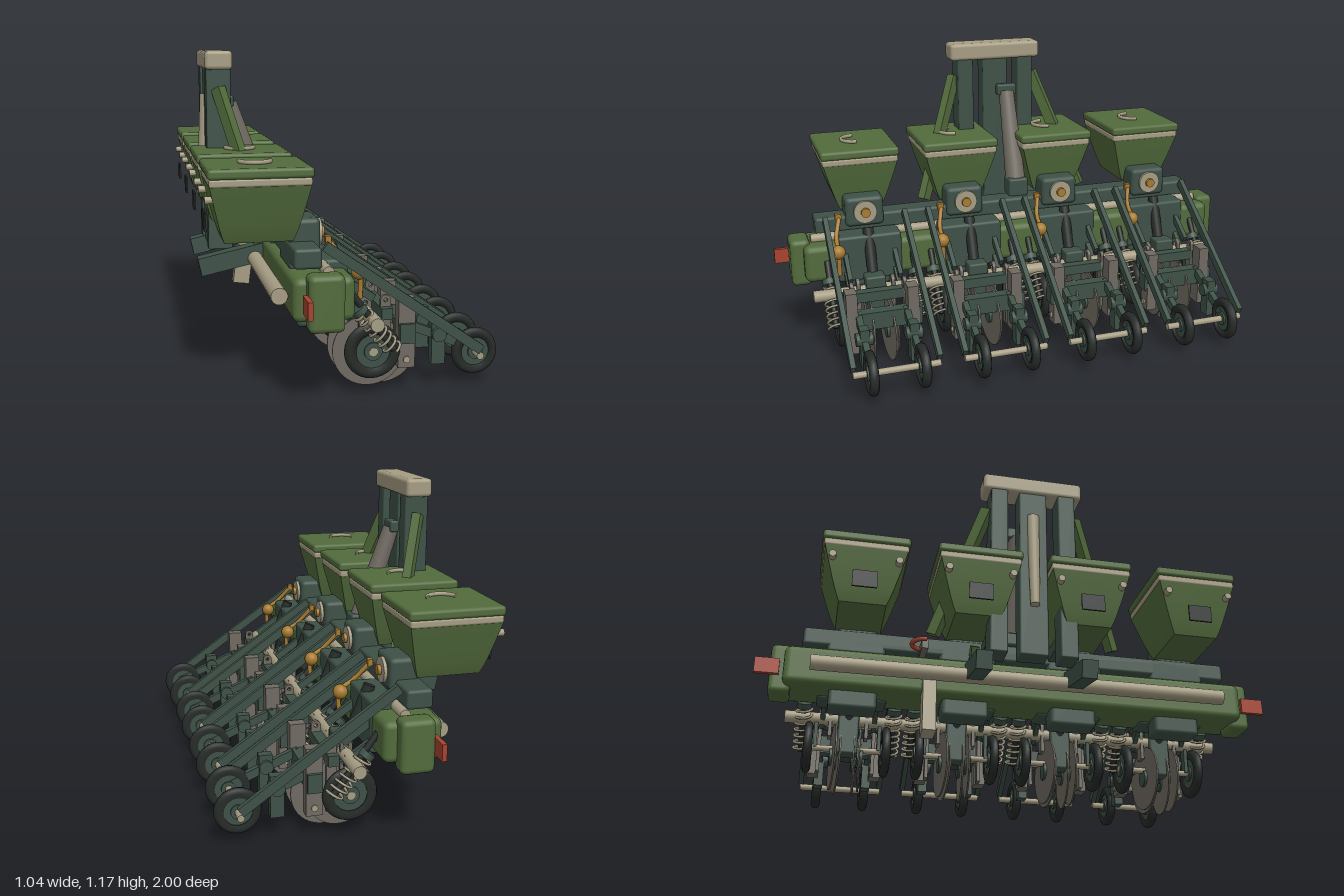
import * as THREE from 'three';
import { RoundedBoxGeometry } from 'three/addons/geometries/RoundedBoxGeometry.js';

const paint = (color) => new THREE.MeshStandardMaterial({ color });
const GREEN = paint(0x526b3c), DARK = paint(0x3e5147), BEIGE = paint(0xa59c82), GREY = paint(0x6f6a61);
const BLACK = paint(0x262b28), RED = paint(0xa8432f), GOLD = paint(0xa87a30);
const V = (p) => new THREE.Vector3(...p);

function add(parent, name, geo, mat, pos = [0, 0, 0]) {
  const m = new THREE.Mesh(geo, mat);
  m.name = name;
  m.position.set(...pos);
  parent.add(m);
  return m;
}
// Box given by its limits on each axis, with optional rounded edges
function box(parent, name, mat, [x0, x1], [y0, y1], [z0, z1], r = 0) {
  const s = [x1 - x0, y1 - y0, z1 - z0];
  const geo = r ? new RoundedBoxGeometry(...s, 2, r) : new THREE.BoxGeometry(...s);
  add(parent, name, geo, mat, [(x0 + x1) / 2, (y0 + y1) / 2, (z0 + z1) / 2]);
}
// Square bar between two points
function bar(parent, name, mat, a, b, w, h) {
  const A = V(a), B = V(b), m = new THREE.Mesh(new THREE.BoxGeometry(w, h, A.distanceTo(B)), mat);
  m.name = name;
  m.position.copy(A).add(B).multiplyScalar(0.5);
  m.lookAt(B);
  parent.add(m);
}
// Round rod between two points
function rod(parent, name, mat, a, b, r0, r1 = r0, seg = 20) {
  const A = V(a), B = V(b), m = new THREE.Mesh(new THREE.CylinderGeometry(r1, r0, A.distanceTo(B), seg), mat);
  m.name = name;
  m.position.copy(A).add(B).multiplyScalar(0.5);
  m.quaternion.setFromUnitVectors(new THREE.Vector3(0, 1, 0), B.sub(A).normalize());
  parent.add(m);
}
function wheel(parent, name, x, y, z, r, w) {
  const g = new THREE.Group();
  g.name = name;
  g.position.set(x, y, z);
  const pts = [[0.6, -0.4], [0.82, -0.5], [0.95, -0.35], [1, 0], [0.95, 0.35], [0.82, 0.5], [0.6, 0.4], [0.6, -0.4]];
  const tyre = new THREE.LatheGeometry(pts.map(([a, b]) => new THREE.Vector2(a * r, b * w)), 32);
  add(g, 'tyre', tyre.rotateX(Math.PI / 2), BLACK);
  rod(g, 'rim', DARK, [0, 0, -w * 0.3], [0, 0, w * 0.3], r * 0.62);
  rod(g, 'hub', DARK, [0, 0, -w * 0.5], [0, 0, w * 0.5], r * 0.32);
  rod(g, 'hubBolt', BEIGE, [0, 0, -w * 0.58], [0, 0, w * 0.58], r * 0.15);
  parent.add(g);
}
// Coil wound along the line from a to b
function spring(parent, a, b, r, turns) {
  const A = V(a), D = V(b).sub(A), u = D.clone().normalize(), n = new THREE.Vector3(0, 0, 1), k = u.clone().cross(n);
  const pts = [];
  for (let i = 0; i <= turns * 12; i++) {
    const t = (i / 12) * Math.PI * 2;
    pts.push(A.clone().addScaledVector(D, i / (turns * 12)).addScaledVector(n, r * Math.cos(t)).addScaledVector(k, r * Math.sin(t)));
  }
  add(parent, 'spring', new THREE.TubeGeometry(new THREE.CatmullRomCurve3(pts), turns * 14, 0.005, 6), BEIGE);
}
// Upright plate with a rounded top and a bolt hole
function plate(parent, x0, x1, y0, y1, z, t) {
  const r = (x1 - x0) / 2, s = new THREE.Shape();
  s.moveTo(x0, y0);
  s.lineTo(x1, y0);
  s.absarc(x0 + r, y1 - r, r, 0, Math.PI, false);
  const hole = new THREE.Path();
  hole.absarc(x0 + r, y1 - r, r * 0.4, 0, Math.PI * 2, true);
  s.holes.push(hole);
  add(parent, 'bracketPlate', new THREE.ExtrudeGeometry(s, { depth: t, bevelEnabled: false, curveSegments: 10 }), GREY, [0, 0, z - t / 2]);
}

function hopper(parent) {
  // Tapered bin with slightly bowed walls
  const geo = new THREE.BoxGeometry(1, 0.2, 1, 4, 8, 4), p = geo.attributes.position;
  for (let i = 0; i < p.count; i++) {
    const k = Math.pow(Math.max(0, p.getY(i) / 0.2 + 0.5), 0.85);
    p.setX(i, p.getX(i) * (0.235 + 0.105 * k));
    p.setZ(i, p.getZ(i) * (0.17 + 0.13 * k));
  }
  geo.computeVertexNormals();
  add(parent, 'hopperBin', geo, GREEN, [-0.335, 0.64, 0]);
  box(parent, 'hopperRim', BEIGE, [-0.507, -0.163], [0.738, 0.766], [-0.154, 0.154], 0.008);
  box(parent, 'hopperLid', GREEN, [-0.512, -0.157], [0.764, 0.8], [-0.16, 0.16], 0.012);
  const handle = new THREE.TorusGeometry(0.054, 0.008, 8, 20, Math.PI).rotateX(Math.PI / 2);
  add(parent, 'lidHandle', handle, BEIGE, [-0.335, 0.806, -0.005]);
  for (const z of [-0.12, 0.12]) rod(parent, 'lidLatch', BEIGE, [-0.52, 0.695, z], [-0.48, 0.695, z], 0.013);
  box(parent, 'hopperTag', BLACK, [-0.515, -0.508], [0.575, 0.64], [-0.045, 0.045]);
}

function rowUnit(z) {
  const g = new THREE.Group();
  g.name = 'rowUnit';
  g.position.z = z;
  hopper(g);
  // Seed meter under the hopper
  box(g, 'meterHousing', DARK, [-0.23, -0.12], [0.49, 0.613], [-0.078, 0.078], 0.018);
  box(g, 'meterBase', DARK, [-0.235, -0.14], [0.44, 0.535], [-0.11, 0.11], 0.015);
  rod(g, 'meterDisc', BEIGE, [-0.125, 0.553, 0], [-0.108, 0.553, 0], 0.047, 0.047, 28);
  rod(g, 'meterKnob', GOLD, [-0.11, 0.553, 0], [-0.095, 0.553, 0], 0.019);
  // Mount and shank
  box(g, 'mountPlate', DARK, [-0.14, -0.035], [0.29, 0.48], [-0.13, 0.13], 0.012);
  box(g, 'clampFoot', DARK, [-0.205, -0.105], [0.235, 0.42], [-0.09, 0.09], 0.015);
  box(g, 'shank', DARK, [0.0, 0.07], [0.13, 0.34], [-0.04, 0.04], 0.008);
  box(g, 'crossBeam', DARK, [0.08, 0.12], [0.26, 0.3], [-0.14, 0.14]);
  box(g, 'rearBlock', DARK, [0.145, 0.195], [0.175, 0.245], [-0.105, 0.105]);
  rod(g, 'seedTube', BLACK, [-0.07, 0.5, 0], [0.08, 0.12, 0], 0.022);
  // Paired opener discs, tilted to meet at the front
  for (const s of [-1, 1]) for (const [x, o] of [[0.055, 0.052], [0.105, 0.034]]) {
    const d = add(g, 'openerDisc', new THREE.CylinderGeometry(0.128, 0.128, 0.006, 40).rotateX(Math.PI / 2), GREY, [x, 0.128, s * o]);
    d.rotation.y = -s * 0.07;
    rod(g, 'discHub', DARK, [x, 0.128, s * o - 0.012], [x, 0.128, s * o + 0.012], 0.035);
  }
  for (const s of [-1, 1]) {
    wheel(g, 'gaugeWheel', 0.045, 0.158, s * 0.148, 0.1, 0.034);
    rod(g, 'gaugeAxle', BEIGE, [0.045, 0.158, s * 0.03], [0.045, 0.158, s * 0.14], 0.012);
    bar(g, 'gaugeArm', DARK, [0.045, 0.158, s * 0.122], [0.04, 0.29, s * 0.122], 0.014, 0.035);
    bar(g, 'parallelArm', DARK, [-0.1, 0.44, s * 0.1], [0.06, 0.33, s * 0.1], 0.018, 0.028);
    bar(g, 'parallelArm', DARK, [-0.1, 0.36, s * 0.1], [0.06, 0.25, s * 0.1], 0.018, 0.028);
    plate(g, 0.083, 0.12, 0.08, 0.342, s * 0.105, 0.014);
    plate(g, 0.015, 0.06, 0.2, 0.33, s * 0.07, 0.014);
    box(g, 'scraperBracket', GREY, [0.14, 0.2], [0.085, 0.335], [s * 0.12 - 0.022, s * 0.12 + 0.022]);
    rod(g, 'bracketBolt', BEIGE, [0.17, 0.115, s * 0.135], [0.17, 0.115, s * 0.148], 0.012);
    box(g, 'bracketClamp', DARK, [0.143, 0.197], [0.175, 0.245], [s * 0.125 - 0.03, s * 0.125 + 0.03]);
    // Down-pressure spring around its damper
    spring(g, [0.0, 0.3, s * 0.173], [0.115, 0.165, s * 0.173], 0.03, 7);
    rod(g, 'springRod', BLACK, [-0.045, 0.385, s * 0.173], [0.115, 0.165, s * 0.173], 0.012);
    rod(g, 'springSeat', DARK, [-0.015, 0.318, s * 0.173], [0.0, 0.3, s * 0.173], 0.028);
    // Long press-wheel arm, trailing link and wheel
    bar(g, 'pressArm', DARK, [-0.125, 0.535, s * 0.162], [0.435, 0.14, s * 0.162], 0.02, 0.035);
    bar(g, 'trailingLink', DARK, [0.17, 0.235, s * 0.095], [0.435, 0.125, s * 0.095], 0.024, 0.032);
    box(g, 'linkWeight', DARK, [0.27, 0.32], [0.08, 0.235], [s * 0.095 - 0.018, s * 0.095 + 0.018]);
    rod(g, 'linkCollar', DARK, [0.295, 0.19, s * 0.095 - 0.032], [0.295, 0.19, s * 0.095 + 0.032], 0.026);
    wheel(g, 'pressWheel', 0.433, 0.117, s * 0.097, 0.085, 0.036);
  }
  rod(g, 'pressAxle', BEIGE, [0.433, 0.117, -0.165], [0.433, 0.117, 0.165], 0.013);
  // Brass fitting and its hose
  add(g, 'brassFitting', new THREE.SphereGeometry(0.028, 16, 12), GOLD, [0.0, 0.435, 0.132]);
  const hose = new THREE.CatmullRomCurve3([[-0.1, 0.54, 0.11], [-0.05, 0.48, 0.13], [0, 0.44, 0.132], [0.005, 0.34, 0.132]].map(V));
  add(g, 'hose', new THREE.TubeGeometry(hose, 20, 0.009, 8), GOLD);
  box(g, 'hoseBlock', GOLD, [-0.115, -0.095], [0.535, 0.56], [0.1, 0.125]);
  return g;
}

export function createModel() {
  const model = new THREE.Group();
  model.name = 'rowPlanter';

  // Main frame
  box(model, 'mainBeam', GREEN, [-0.25, -0.04], [0.3, 0.45], [-0.895, 0.895], 0.025);
  box(model, 'upperBeam', DARK, [-0.235, -0.14], [0.465, 0.535], [-0.835, 0.835], 0.012);
  rod(model, 'driveShaft', BEIGE, [0.038, 0.275, -0.88], [0.038, 0.275, 0.88], 0.024);
  rod(model, 'airPipe', BEIGE, [-0.125, 0.46, -0.86], [-0.125, 0.46, 0.86], 0.019);
  rod(model, 'rearPipe', BEIGE, [-0.28, 0.37, -0.8], [-0.28, 0.37, 0.8], 0.029);
  for (const s of [-1, 1]) {
    const span = (a, b) => (s > 0 ? [a, b] : [-b, -a]);
    box(model, 'endCap', GREEN, [-0.207, -0.085], [0.275, 0.468], span(0.865, 0.945), 0.02);
    box(model, 'endReflector', RED, [-0.222, -0.205], [0.34, 0.4], span(0.91, 1));
    // Mast post, brace, frame link and lower hitch arm
    box(model, 'mastPost', DARK, [-0.455, -0.36], [0.4, 1.12], span(0.1, 0.168), 0.006);
    bar(model, 'mastBrace', GREEN, [-0.41, 1.03, s * 0.175], [-0.27, 0.53, s * 0.355], 0.035, 0.045);
    box(model, 'mastLink', DARK, [-0.4, -0.18], [0.48, 0.525], span(0.105, 0.16));
    bar(model, 'hitchArm', DARK, [-0.495, 0.342, s * 0.195], [-0.2, 0.405, s * 0.195], 0.06, 0.07);
    bar(model, 'hitchGusset', GREEN, [-0.29, 0.49, s * 0.195], [-0.2, 0.33, s * 0.195], 0.03, 0.05);
  }

  // Mast
  box(model, 'mastCenterPost', DARK, [-0.45, -0.37], [0.4, 1.12], [-0.055, 0.055], 0.006);
  box(model, 'mastCap', BEIGE, [-0.46, -0.355], [1.1, 1.172], [-0.198, 0.198], 0.015);
  rod(model, 'mastStrut', BEIGE, [-0.44, 1.0, 0], [-0.465, 0.6, 0], 0.025, 0.018);
  rod(model, 'liftCylinder', GREY, [-0.22, 0.59, -0.043], [-0.345, 0.96, -0.043], 0.043, 0.032, 28);
  box(model, 'cylinderMount', DARK, [-0.367, -0.33], [0.945, 0.992], [-0.085, 0.0], 0.008);
  box(model, 'cylinderFoot', DARK, [-0.25, -0.17], [0.53, 0.61], [-0.085, 0.0], 0.01);

  // Parking stand and red hose loop
  bar(model, 'parkingStand', BEIGE, [-0.267, 0.13, -0.36], [-0.235, 0.38, -0.36], 0.05, 0.072);
  const loop = new THREE.TorusGeometry(0.05, 0.009, 8, 24, Math.PI).rotateX(-Math.PI / 2);
  add(model, 'hoseLoop', loop, RED, [-0.3, 0.473, -0.385]);
  box(model, 'hoseBracket', GREY, [-0.32, -0.22], [0.45, 0.49], [-0.4, -0.375]);

  for (const z of [-0.635, -0.212, 0.212, 0.635]) model.add(rowUnit(z));
  return model;
}
